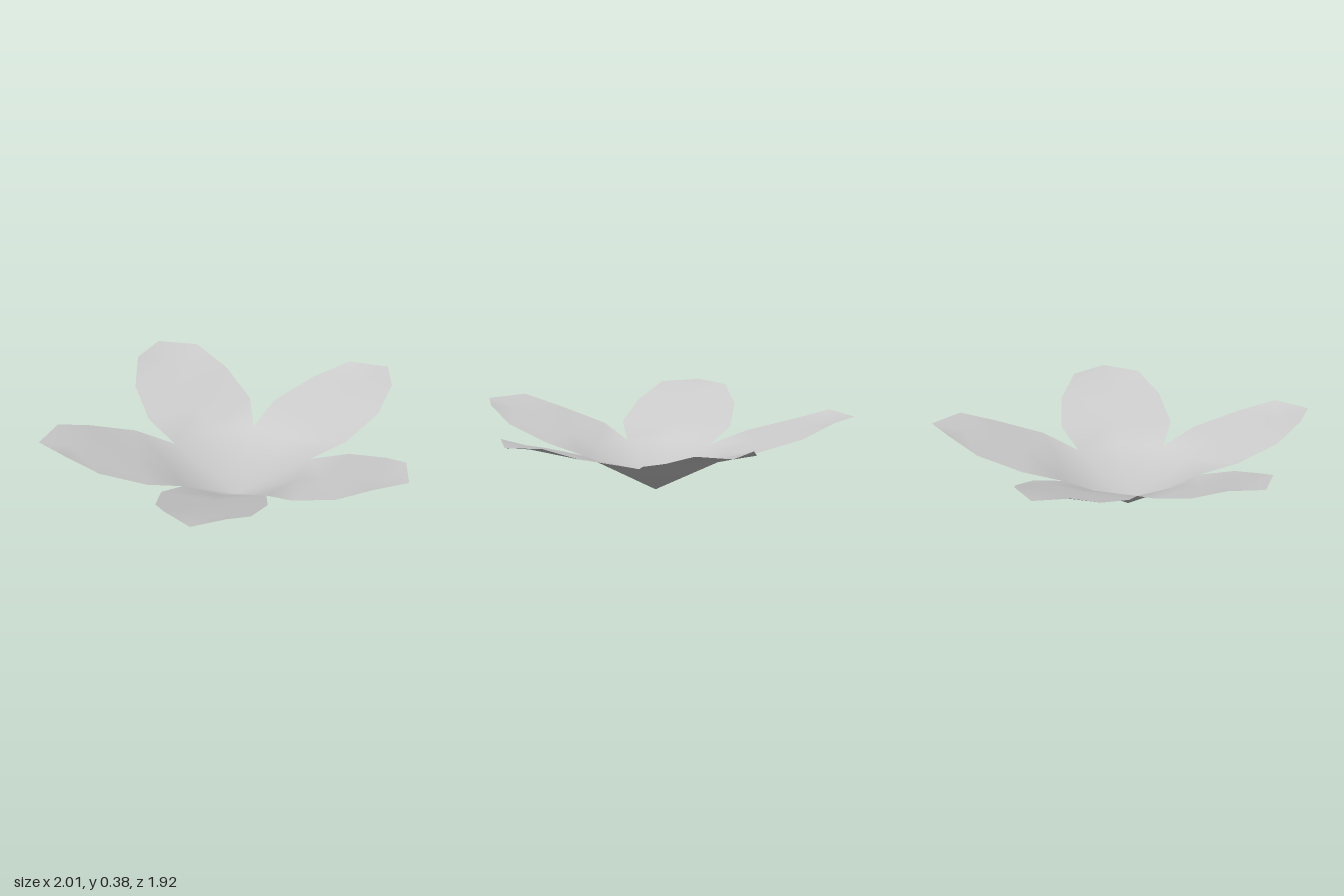
import * as THREE from 'three';

const CENTRE_Z = 0.1;

// Rows across a petal: distance of edge, half width, edge height, midrib distance, midrib height
const ROWS = [
  [0.51, 0.29, 0.248, 0.54, 0.25],
  [0.76, 0.26, 0.312, 0.74, 0.311],
  [0.935, 0.17, 0.378, 0.88, 0.341],
];
const TIP = [1.055, 0.373];
const MIDRIB_BASE = [0.37, 0.197];
const VALLEY = [0.385, 0.19];

// Slight irregularity of each petal: turn in degrees and length scale
const PETALS = [[0, 1], [0, 1], [1.3, 0.985], [-0.6, 1], [0, 1]];

function createCorolla(material) {
  const positions = [];
  const indices = [];
  const rad = THREE.MathUtils.degToRad;

  // Point at a distance along a direction, shifted sideways
  const point = (deg, along, side, y) => {
    const s = Math.sin(rad(deg)), c = Math.cos(rad(deg));
    positions.push(along * s + side * c, y, CENTRE_Z - along * c + side * s);
    return positions.length / 3 - 1;
  };
  const quad = (a, b, c, d) => indices.push(a, b, c, a, c, d);

  // Shared cup: pointed centre and the five notches between petals
  const centre = point(0, 0, 0, 0);
  const valleys = PETALS.map((_, i) => point(72 * i + 36, VALLEY[0], 0, VALLEY[1]));

  PETALS.forEach(([turn, scale], i) => {
    const angle = 72 * i + turn;
    let [left, mid, right] = [
      valleys[(i + 4) % 5], point(72 * i, MIDRIB_BASE[0], 0, MIDRIB_BASE[1]), valleys[i],
    ];
    indices.push(centre, mid, left, centre, right, mid);

    // Petal blade, row by row out to the tip
    for (const [edge, width, edgeY, rib, ribY] of ROWS) {
      const l = point(angle, edge * scale, -width, edgeY);
      const m = point(angle, rib * scale, 0, ribY);
      const r = point(angle, edge * scale, width, edgeY);
      quad(left, mid, m, l);
      quad(mid, right, r, m);
      [left, mid, right] = [l, m, r];
    }
    const tip = point(angle, TIP[0] * scale, 0, TIP[1]);
    indices.push(left, mid, tip, mid, right, tip);
  });

  const geometry = new THREE.BufferGeometry();
  geometry.setAttribute('position', new THREE.Float32BufferAttribute(positions, 3));
  geometry.setIndex(indices);
  geometry.computeVertexNormals();
  const mesh = new THREE.Mesh(geometry, material);
  mesh.name = 'petals';
  return mesh;
}

export function createModel() {
  const petalGrey = new THREE.MeshStandardMaterial({ color: 0xcccccc, side: THREE.DoubleSide });
  petalGrey.name = 'petal grey';
  const flower = new THREE.Group();
  flower.name = 'flower';
  flower.add(createCorolla(petalGrey));
  return flower;
}
